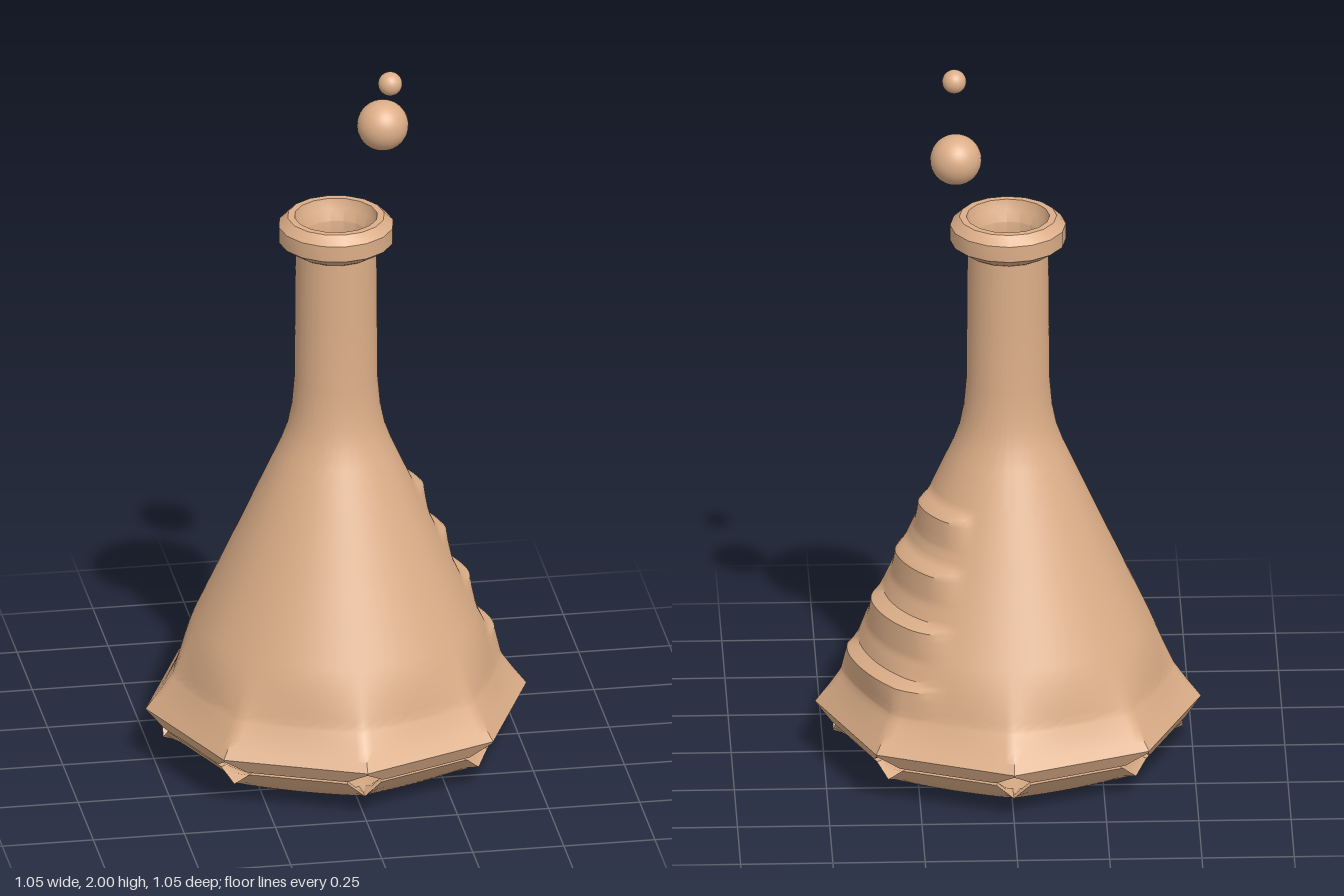
import * as THREE from 'three';
import { toCreasedNormals } from 'three/addons/utils/BufferGeometryUtils.js';

const SEG = 128;
const { lerp, clamp, smoothstep } = THREE.MathUtils;

// Linear interpolation through [radius, y] points
function radiusAt(profile, y) {
  for (let i = 1; i < profile.length; i++) {
    const [r0, y0] = profile[i - 1], [r1, y1] = profile[i];
    if (y <= y1) return lerp(r0, r1, clamp((y - y0) / (y1 - y0), 0, 1));
  }
  return profile[profile.length - 1][0];
}

// Angle from the nearest of the eight corners
function cornerOffset(a) {
  const step = Math.PI / 4;
  return Math.abs(a - Math.round(a / step) * step);
}

// Radius factor blending a circle (0) into an octagon (1)
function octagon(a, amount) {
  const oct = Math.cos(Math.PI / 8) / Math.cos(Math.PI / 8 - cornerOffset(a));
  return lerp(1, oct, amount);
}

// Pointed notch at each corner, 0..1
const notch = (a) => Math.max(0, 1 - cornerOffset(a) / 0.1);

// Closed-ring loft: every row is a function angle -> [radius, y]
function loft(rows) {
  const pos = [], index = [];
  rows.forEach((row, j) => {
    for (let i = 0; i < SEG; i++) {
      const a = (i / SEG) * Math.PI * 2;
      const [r, y] = row(a);
      pos.push(r * Math.cos(a), y, r * Math.sin(a));
      if (j === 0) continue;
      const n = (i + 1) % SEG, lo = (j - 1) * SEG, hi = j * SEG;
      index.push(lo + i, hi + i, lo + n, lo + n, hi + i, hi + n);
    }
  });
  const geo = new THREE.BufferGeometry();
  geo.setAttribute('position', new THREE.Float32BufferAttribute(pos, 3));
  geo.setIndex(index);
  return toCreasedNormals(geo, 0.6);
}

// Graduation ridges on the left-rear side, flat on top and fading downwards
const MARKS = [0.32, 0.47, 0.615, 0.755];
function ridge(a, y) {
  const t = a > Math.PI ? a - Math.PI * 2 : a;
  const window = smoothstep(t, -1.12, -0.75) * (1 - smoothstep(t, -0.2, 0.2));
  let d = 0;
  for (const m of MARKS) {
    const k = y > m ? 1 - (y - m) / 0.02 : 1 - (m - y) / 0.08;
    d = Math.max(d, k);
  }
  return 0.028 * d * lerp(window, 1, 0.5 * window);
}

const OUTER = [[0.50, 0.11], [0.523, 0.15], [0.485, 0.2], [0.45, 0.25], [0.29, 0.6],
  [0.15, 0.91], [0.132, 0.96], [0.12, 1.02], [0.113, 1.1], [0.11, 1.49]];

function bodySurface(y, a, inset) {
  const amount = 1 - smoothstep(y, 0.15, 0.4);
  const r = radiusAt(OUTER, y) * octagon(a, amount);
  return [r - inset + (inset ? 0 : ridge(a, y)), y];
}

function createBody() {
  const ys = [0.15, 0.175, 0.2, 0.225];
  for (let y = 0.24; y < 0.9; y += 0.01) ys.push(y);
  ys.push(0.91, 0.935, 0.96, 0.99, 1.02, 1.06, 1.1, 1.3, 1.49);
  const bottom = (a) => 0.11 + 0.033 * notch(a);
  const rows = [];
  // Inner wall downwards, then the lower edge, then the outer wall upwards
  for (const y of [1.49, 1.1, 1.02, 0.96, 0.91, 0.6, 0.4, 0.25, 0.15]) {
    rows.push((a) => bodySurface(y, a, 0.02));
  }
  rows.push((a) => bodySurface(bottom(a), a, 0.02));
  rows.push((a) => bodySurface(bottom(a), a, 0));
  for (const y of ys) rows.push((a) => bodySurface(y, a, 0));
  return loft(rows);
}

function createBase() {
  // [radius, y, octagon amount, notch depth], underside then floor
  const profile = [[0.001, 0, 0, 0], [0.22, 0.003, 0.3, 0], [0.4, 0.03, 0.7, 0],
    [0.455, 0.065, 1, 0.01], [0.49, 0.1, 1, 0.038], [0.468, 0.1, 1, 0.038],
    [0.38, 0.05, 0.7, 0], [0.001, 0.03, 0, 0]];
  return loft(profile.map(([r, y, oct, cut]) => (a) =>
    [r * octagon(a, oct) - 0.4 * cut * notch(a), y - cut * notch(a)]));
}

export function createModel() {
  const group = new THREE.Group();
  const material = new THREE.MeshStandardMaterial({ color: 0xdcae88, side: THREE.DoubleSide });
  const add = (name, geometry, x = 0, y = 0, z = 0) => {
    const mesh = new THREE.Mesh(geometry, material);
    mesh.name = name;
    mesh.position.set(x, y, z);
    group.add(mesh);
  };

  add('flaskBody', createBody());
  add('flaskBase', createBase());

  // Collar around the mouth
  const lip = [[0.108, 1.475], [0.125, 1.485], [0.157, 1.508], [0.157, 1.553], [0.132, 1.577],
    [0.113, 1.577], [0.106, 1.55], [0.09, 1.52], [0.09, 1.47]]
    .map(([r, y]) => new THREE.Vector2(r, y));
  add('lip', toCreasedNormals(new THREE.LatheGeometry(lip, 16), 0.5));

  // Rising bubbles
  add('largeBubble', new THREE.SphereGeometry(0.07, 32, 20), 0.145, 1.79, -0.1);
  add('smallBubble', new THREE.SphereGeometry(0.033, 24, 16), 0.145, 1.967, 0.022);

  return group;
}
